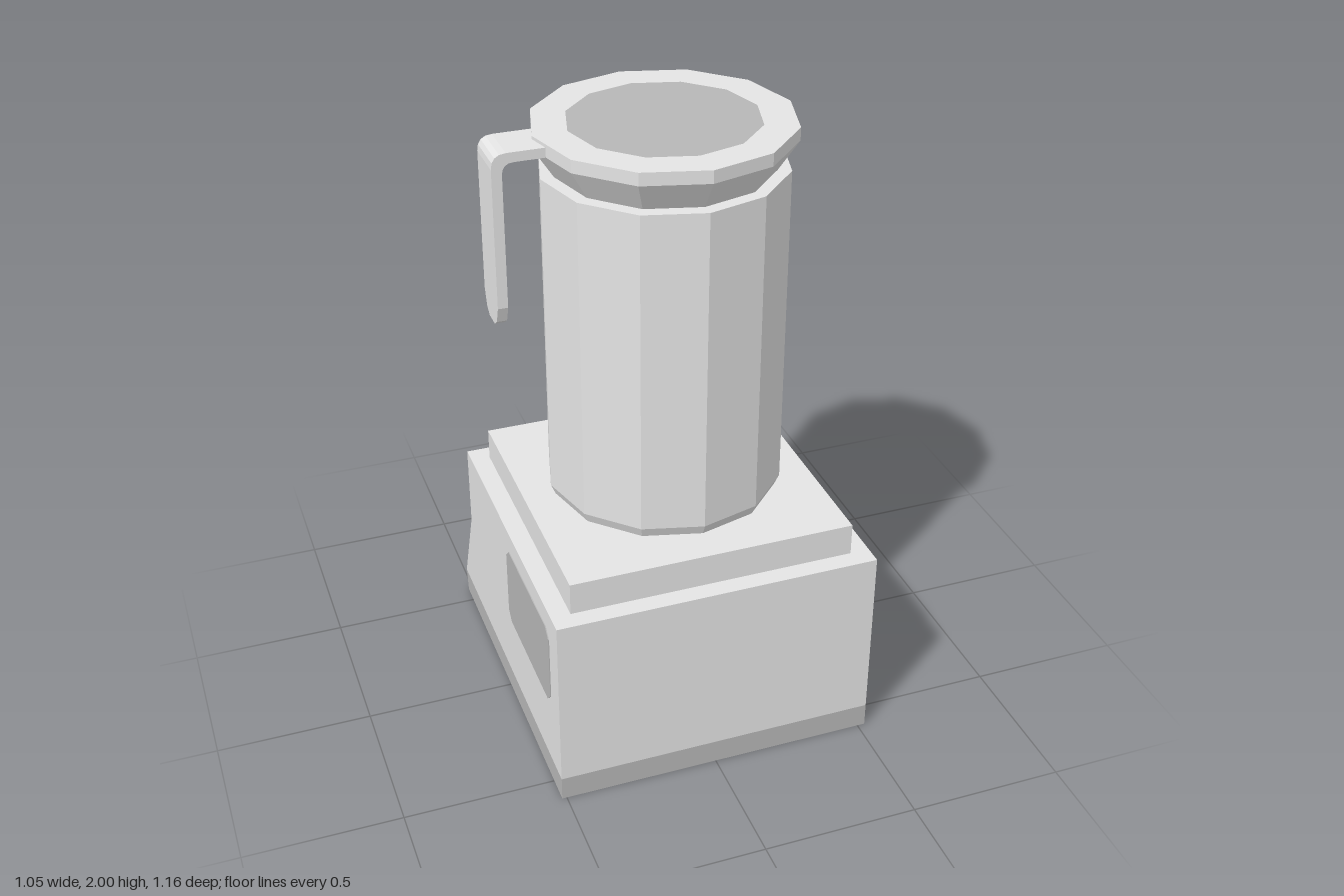
import * as THREE from 'three';

const shell = new THREE.MeshStandardMaterial({ color: 0xe4e4e4, flatShading: true });
shell.name = 'light grey';
const trim = new THREE.MeshStandardMaterial({ color: 0xb7b7b7, flatShading: true });
trim.name = 'mid grey';

const SIDES = 12;
const CX = 0.005; // shared centre line
const CZ = 0.067; // jar axis

function add(parent, name, geometry, material, x = 0, y = 0, z = 0) {
  const mesh = new THREE.Mesh(geometry, material);
  mesh.name = name;
  mesh.position.set(x, y, z);
  parent.add(mesh);
  return mesh;
}

// Extrude a [z, y] outline along x, from x0 to x1
function extrudeX(outline, x0, x1) {
  const shape = new THREE.Shape(outline.map(([z, y]) => new THREE.Vector2(-z, y)));
  const g = new THREE.ExtrudeGeometry(shape, { depth: x1 - x0, bevelEnabled: false });
  return g.rotateY(Math.PI / 2).translate(x0, 0, 0);
}

const turn = (points) =>
  new THREE.LatheGeometry(points.map(([r, y]) => new THREE.Vector2(r, y)), SIDES);

function createBase() {
  const base = new THREE.Group();
  base.name = 'base';
  add(base, 'foot', extrudeX([[0.585, 0], [0.585, 0.08], [-0.58, 0.08], [-0.565, 0]], -0.515, 0.525), trim);
  add(base, 'housing', extrudeX(
    [[0.585, 0.08], [0.585, 0.665], [-0.45, 0.665], [-0.45, 0.385], [-0.58, 0.08]], -0.515, 0.525), shell);
  add(base, 'jarPlatform', new THREE.BoxGeometry(0.915, 0.106, 0.915), shell, CX, 0.717, CZ);

  // Knobs on the sloped control face
  for (const x of [-0.37, -0.2, -0.03]) {
    const knob = add(base, 'knob', new THREE.CylinderGeometry(0.058, 0.058, 0.034, SIDES), trim, x, 0.24, -0.512);
    knob.rotation.x = -Math.atan2(0.305, 0.13);
  }

  // Small switches near the top edge
  for (const x of [0.438, 0.487]) {
    add(base, 'switch', new THREE.BoxGeometry(0.026, 0.074, 0.03), trim, x, 0.605, -0.45);
  }

  // Side panel with clipped corners
  const z0 = 0.035, z1 = 0.5, y0 = 0.315, y1 = 0.595, c = 0.03;
  add(base, 'sidePanel', extrudeX([
    [z0 + c, y0], [z1 - c, y0], [z1, y0 + c], [z1, y1 - c],
    [z1 - c, y1], [z0 + c, y1], [z0, y1 - c], [z0, y0 + c],
  ], -0.518, -0.513), trim);
  return base;
}

function createJar() {
  const jar = new THREE.Group();
  jar.name = 'jar';
  jar.position.set(CX, 0, CZ);
  add(jar, 'jarBody', turn([[0, 0.77], [0.33, 0.77], [0.36, 0.785], [0.375, 0.82], [0.375, 1.865], [0, 1.865]]), shell);
  add(jar, 'lid', turn([[0.33, 1.86], [0.395, 1.96], [0.395, 2], [0.29, 2]]), shell);
  add(jar, 'lidInset', new THREE.CircleGeometry(0.29, SIDES).rotateX(-Math.PI / 2), trim, 0, 2, 0);
  return jar;
}

function createHandle() {
  const handle = new THREE.Group();
  handle.name = 'handle';
  const width = 0.146, z = 0.065, h = width / 2;

  // Bent strap
  const s = new THREE.Shape();
  s.moveTo(-0.35, 1.99);
  s.lineTo(-0.485, 1.99);
  s.quadraticCurveTo(-0.53, 1.99, -0.53, 1.945);
  s.lineTo(-0.53, 1.51);
  s.lineTo(-0.499, 1.51);
  s.lineTo(-0.499, 1.925);
  s.quadraticCurveTo(-0.499, 1.96, -0.464, 1.96);
  s.lineTo(-0.35, 1.96);
  const strap = new THREE.ExtrudeGeometry(s, { depth: width, bevelEnabled: false, curveSegments: 4 });
  add(handle, 'strap', strap, shell, 0, 0, z - h);

  // Rounded lower end
  add(handle, 'strapEnd', extrudeX([
    [z - h, 1.51], [z - h + 0.02, 1.458], [z - h + 0.045, 1.44],
    [z + h - 0.045, 1.44], [z + h - 0.02, 1.458], [z + h, 1.51],
  ], -0.53, -0.499), shell);
  return handle;
}

export function createModel() {
  const model = new THREE.Group();
  model.name = 'kitchenBlender';
  model.add(createBase(), createJar(), createHandle());
  return model;
}
